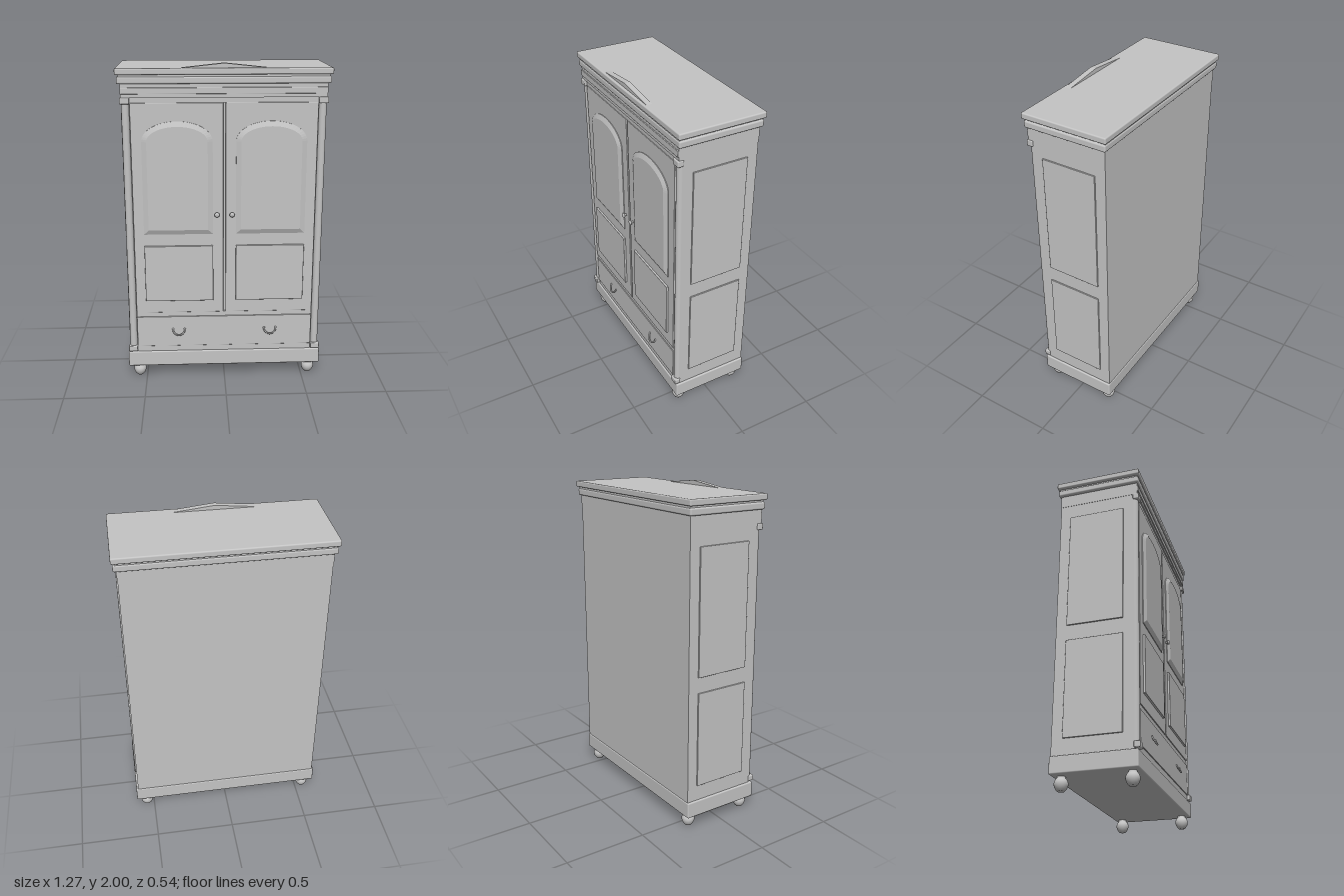
import * as THREE from 'three';
import { RoundedBoxGeometry } from 'three/addons/geometries/RoundedBoxGeometry.js';

export function createModel() {
  const root = new THREE.Group();
  root.name = 'wardrobe';
  const grey = new THREE.MeshStandardMaterial({ color: 0xc4c4c4 });
  grey.name = 'plain grey';

  const add = (name, geometry, x = 0, y = 0, z = 0) => {
    const mesh = new THREE.Mesh(geometry, grey);
    mesh.name = name;
    mesh.position.set(x, y, z);
    root.add(mesh);
    return mesh;
  };
  // Box given by its limits; a radius rounds its edges
  const block = (name, x0, x1, y0, y1, z0, z1, radius = 0) => {
    const size = [x1 - x0, y1 - y0, z1 - z0];
    const geometry = radius
      ? new RoundedBoxGeometry(...size, 2, radius)
      : new THREE.BoxGeometry(...size);
    return add(name, geometry, (x0 + x1) / 2, (y0 + y1) / 2, (z0 + z1) / 2);
  };

  // Carcass and plinth
  block('carcass', -0.603, 0.603, 0.17, 1.81, -0.245, 0.226);
  block('plinth', -0.615, 0.615, 0.08, 0.18, -0.25, 0.25, 0.008);

  // Frieze and stepped cornice
  block('frieze', -0.605, 0.605, 1.803, 1.89, -0.247, 0.25);
  block('friezePanel', -0.603, 0.603, 1.825, 1.862, 0.245, 0.257, 0.003);
  block('lowerCornice', -0.624, 0.624, 1.883, 1.925, -0.26, 0.26, 0.01);
  block('corniceNeck', -0.612, 0.612, 1.92, 1.94, -0.255, 0.255);
  block('upperCornice', -0.633, 0.633, 1.936, 1.973, -0.269, 0.267, 0.008);

  // Low triangular crest on the front edge of the top
  const crest = new THREE.Shape([
    new THREE.Vector2(-0.275, 0), new THREE.Vector2(0.275, 0), new THREE.Vector2(0, 0.029),
  ]);
  add('crest', new THREE.ExtrudeGeometry(crest, { depth: 0.036, bevelEnabled: false }), 0, 1.971, 0.215);

  // Arched field; inset shrinks it evenly towards its centre
  const archPoints = (inset) => {
    const w = 0.211 - inset, bottom = 0.97 + inset, spring = 1.545, rise = 0.12 - inset;
    const points = [[-w, bottom], [w, bottom]];
    for (let i = 0; i <= 24; i++) {
      const a = (i / 24) * Math.PI;
      points.push([w * Math.cos(a), spring + rise * Math.sin(a)]);
    }
    return points;
  };
  // Chamfered panel: sloping border from cross-section to cross-section, then a flat face
  const archedPanel = () => {
    const levels = [[0, 0.24], [0, 0.25], [0.03, 0.263]];
    const rings = levels.map(([inset]) => archPoints(inset));
    const vertices = [];
    const quad = (a, b, c, d) => vertices.push(...a, ...b, ...c, ...a, ...c, ...d);
    for (let l = 0; l < 2; l++) {
      const n = rings[l].length;
      for (let i = 0; i < n; i++) {
        const j = (i + 1) % n;
        const at = (level, k) => [...rings[level][k], levels[level][1]];
        quad(at(l, i), at(l, j), at(l + 1, j), at(l + 1, i));
      }
    }
    const top = rings[2];
    for (let i = 1; i < top.length - 1; i++) {
      for (const p of [top[0], top[i], top[i + 1]]) vertices.push(...p, 0.263);
    }
    const geometry = new THREE.BufferGeometry();
    geometry.setAttribute('position', new THREE.Float32BufferAttribute(vertices, 3));
    geometry.computeVertexNormals();
    return geometry;
  };
  const archGeometry = archedPanel();

  // Curved drop handle, hanging from two ends and leaning forward
  const handleCurve = new THREE.CatmullRomCurve3([
    [-0.037, 0.336, 0.247], [-0.036, 0.322, 0.253], [-0.021, 0.305, 0.262],
    [0, 0.299, 0.266], [0.021, 0.305, 0.262], [0.036, 0.322, 0.253], [0.037, 0.336, 0.247],
  ].map((p) => new THREE.Vector3(...p)));
  const handleGeometry = new THREE.TubeGeometry(handleCurve, 24, 0.005, 8);

  // Round door knob, turned about the z axis
  const knobGeometry = new THREE.LatheGeometry([
    [0.007, 0], [0.007, 0.01], [0.014, 0.014], [0.016, 0.019], [0.012, 0.024], [0, 0.026],
  ].map((p) => new THREE.Vector2(...p)), 20).rotateX(Math.PI / 2);

  // Turned bun foot
  const footGeometry = new THREE.LatheGeometry([
    [0, 0], [0.02, 0], [0.028, 0.009], [0.036, 0.022], [0.04, 0.038],
    [0.038, 0.052], [0.031, 0.065], [0.024, 0.073], [0.024, 0.085],
  ].map((p) => new THREE.Vector2(...p)), 24);

  for (const s of [-1, 1]) {
    const side = s > 0 ? 'left' : 'right';
    // Block placed on one half, with x limits measured outwards from the centre
    const half = (name, a, b, ...rest) =>
      block(side + name, Math.min(s * a, s * b), Math.max(s * a, s * b), ...rest);

    // Door with a chamfered arch above and a raised square panel below
    half('Door', 0.007, 0.554, 0.45, 1.773, 0.22, 0.246, 0.003);
    add(side + 'DoorArch', archGeometry, s * 0.281, 0, 0);
    half('DoorLowerPanel', 0.07, 0.492, 0.533, 0.895, 0.24, 0.259, 0.003);
    add(side + 'Knob', knobGeometry, s * 0.046, 1.095, 0.246);
    add(side + 'DrawerHandle', handleGeometry, s * 0.29, 0, 0);
    for (const e of [-1, 1]) {
      add(side + 'HandleMount', new THREE.SphereGeometry(0.007, 12, 8), s * 0.29 + e * 0.037, 0.334, 0.246);
    }

    // Corner column between a square base and capital
    add(side + 'Column', new THREE.CylinderGeometry(0.023, 0.023, 1.57, 20), s * 0.58, 0.995, 0.226);
    half('ColumnBase', 0.554, 0.611, 0.187, 0.223, 0.222, 0.26, 0.006);
    half('ColumnCapital', 0.554, 0.611, 1.767, 1.804, 0.222, 0.26, 0.006);

    // Raised panels on the side wall
    half('SideUpperPanel', 0.595, 0.611, 0.96, 1.713, -0.18, 0.162, 0.003);
    half('SideLowerPanel', 0.595, 0.611, 0.276, 0.865, -0.18, 0.162, 0.003);

    for (const z of [-0.2, 0.2]) add(side + 'Foot', footGeometry, s * 0.547, 0, z);
  }

  // Drawer and the rails around it
  block('drawer', -0.554, 0.554, 0.217, 0.42, 0.22, 0.246, 0.003);
  block('drawerRail', -0.554, 0.554, 0.42, 0.45, 0.22, 0.24);
  block('bottomRail', -0.554, 0.554, 0.175, 0.217, 0.22, 0.24);
  block('topRail', -0.554, 0.554, 1.773, 1.805, 0.22, 0.242);

  return root;
}
